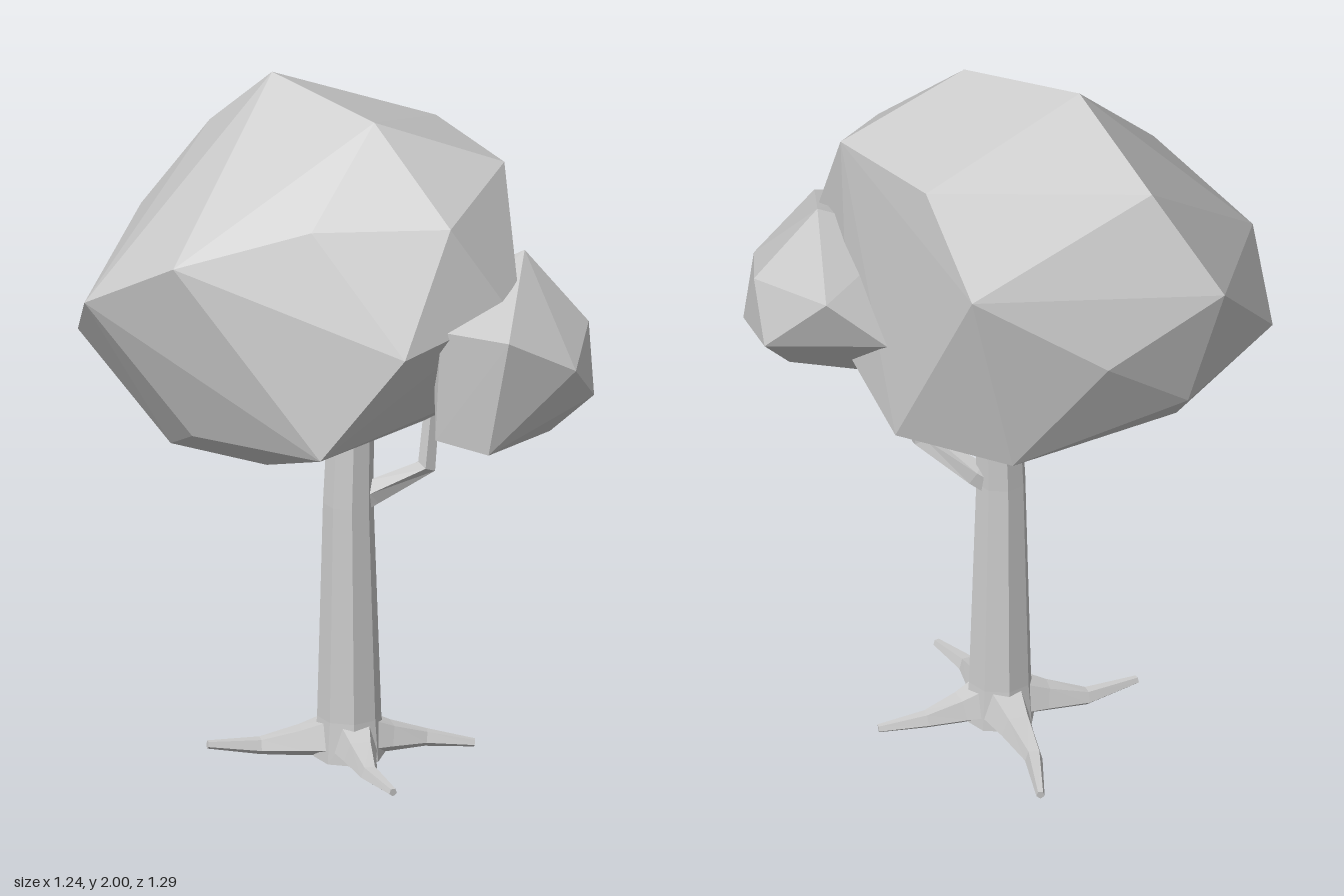
import * as THREE from 'three';
import { ConvexGeometry } from 'three/addons/geometries/ConvexGeometry.js';

const material = new THREE.MeshStandardMaterial({ color: 0xcccccc, flatShading: true });

function part(name, geometry) {
  const mesh = new THREE.Mesh(geometry, material);
  mesh.name = name;
  return mesh;
}

// Faceted clump of leaves spanned by its corner points
function foliage(name, corners) {
  return part(name, new ConvexGeometry(corners.map((c) => new THREE.Vector3(...c))));
}

// Tapered limb: polygon rings [x, y, z, radius] joined along a path
function limb(name, rings, sides, ref) {
  const centers = rings.map((r) => new THREE.Vector3(r[0], r[1], r[2]));
  const last = rings.length - 1;
  const positions = [];
  const index = [];
  rings.forEach((ring, i) => {
    const t = centers[Math.min(i + 1, last)].clone().sub(centers[Math.max(i - 1, 0)]).normalize();
    const u = ref.clone().addScaledVector(t, -ref.dot(t)).normalize();
    const v = t.clone().cross(u);
    for (let j = 0; j < sides; j++) {
      const a = ((j + 0.5) / sides) * Math.PI * 2;
      const p = centers[i].clone()
        .addScaledVector(u, Math.cos(a) * ring[3])
        .addScaledVector(v, Math.sin(a) * ring[3]);
      positions.push(p.x, Math.max(p.y, 0), p.z);
    }
  });
  for (let i = 0; i < last; i++) {
    for (let j = 0; j < sides; j++) {
      const k = (j + 1) % sides;
      const a = i * sides + j, b = i * sides + k;
      index.push(a, b, b + sides, a, b + sides, a + sides);
    }
  }
  // End caps
  for (let j = 1; j < sides - 1; j++) {
    const e = last * sides;
    index.push(0, j + 1, j, e, e + j, e + j + 1);
  }
  const geometry = new THREE.BufferGeometry();
  geometry.setAttribute('position', new THREE.Float32BufferAttribute(positions, 3));
  geometry.setIndex(index);
  geometry.computeVertexNormals();
  return part(name, geometry);
}

export function createModel() {
  const tree = new THREE.Group();
  tree.name = 'tree';
  const up = new THREE.Vector3(0, 1, 0);
  const forward = new THREE.Vector3(0, 0, 1);

  // Main crown: top, middle, then underside corners
  tree.add(foliage('mainCrown', [
    [-0.05, 2.0, -0.2], [0.055, 1.95, 0.175], [0.424, 1.81, -0.106], [0.41, 1.8, 0.284],
    [-0.09, 1.78, -0.468], [0.13, 1.71, 0.46], [-0.2, 1.7, 0.26],
    [-0.52, 1.586, 0.048], [0.444, 1.565, -0.332], [-0.205, 1.496, -0.646],
    [-0.62, 1.406, -0.263], [-0.06, 1.38, 0.53], [0.123, 1.326, -0.537], [-0.5, 1.23, -0.496],
    [0.345, 1.48, 0.468], [0.297, 1.45, 0.5], [0.4, 1.13, 0.26],
    [-0.15, 1.14, -0.552], [-0.244, 1.07, 0.38], [-0.39, 1.03, -0.065],
    [0.43, 0.987, 0.02], [0.28, 0.98, -0.31], [-0.2, 0.935, 0.02], [-0.324, 0.923, -0.29],
  ]));

  // Small crown on the side branch
  tree.add(foliage('sideCrown', [
    [0.43, 1.56, 0.36], [0.207, 1.416, 0.645], [0.424, 1.294, 0.645], [0.54, 1.17, 0.55],
    [0.58, 1.35, 0.455], [0.62, 1.19, 0.36], [0.567, 1.39, 0.155], [0.427, 1.25, 0.06],
    [0.46, 1.045, 0.446], [0.18, 1.07, 0.58], [0.074, 1.43, 0.5], [0.074, 1.1, 0.47],
    [0.2, 1.45, 0.25], [0.28, 1.03, 0.26],
  ]));

  // Trunk, slightly flared at the base
  tree.add(limb('trunk', [
    [0.1, 0, -0.035, 0.1], [0.1, 0.12, -0.035, 0.09], [0.097, 0.75, -0.035, 0.071],
    [0.108, 1.08, -0.035, 0.063],
  ], 8, forward));

  // Bent branch carrying the small crown
  tree.add(limb('branch', [
    [0.11, 0.74, -0.04, 0.04], [0.16, 0.78, 0.0, 0.037], [0.262, 0.875, 0.115, 0.028],
    [0.28, 1.1, 0.12, 0.022],
  ], 5, forward));

  // Roots: tip [x, y, z], each bending as it runs along the ground
  const tips = [[-0.265, 0.05, -0.19], [0.425, 0.015, 0.1], [0.01, 0.03, 0.35], [0.32, 0.02, -0.48]];
  const roots = new THREE.Group();
  roots.name = 'roots';
  tips.forEach(([x, y, z], n) => {
    const at = (f, h, r, bend) => {
      const dx = x - 0.1, dz = z + 0.035;
      return [0.1 + dx * f - dz * bend, h, -0.035 + dz * f + dx * bend, r];
    };
    const b = n % 2 ? -0.05 : 0.05;
    roots.add(limb('root' + (n + 1), [
      at(0.08, 0.06, 0.075, 0), at(0.33, 0.045, 0.048, b * 0.5), at(0.62, 0.032, 0.026, b),
      at(1, y, 0.012, 0),
    ], 5, up));
  });
  tree.add(roots);
  return tree;
}
